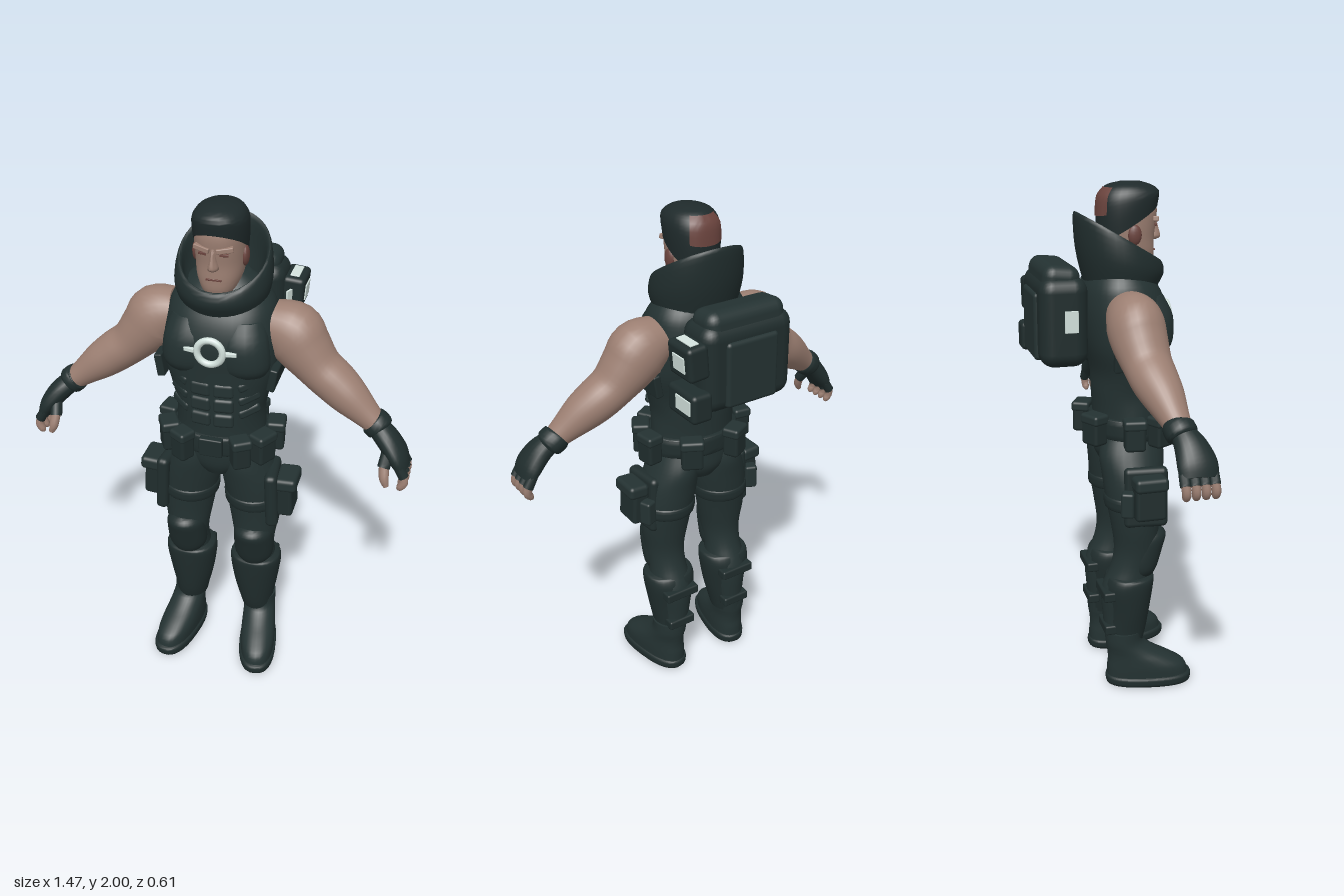
import * as THREE from 'three';
import { toCreasedNormals } from 'three/addons/utils/BufferGeometryUtils.js';
import { RoundedBoxGeometry } from 'three/addons/geometries/RoundedBoxGeometry.js';

const flat = (name, color) => {
  const m = new THREE.MeshStandardMaterial({ color });
  m.name = name;
  return m;
};

// Ring = [x, y, z, half width, half depth, squareness exponent, slope of y along z]
const fill = (r) => [r[0], r[1], r[2], r[3], r[4], r[5] ?? 1, r[6] ?? 0];
const spow = (v, p) => Math.sign(v) * Math.abs(v) ** p;

// Smoothly interpolated skin over rings; "free" rings follow the path, others stay level.
function loft(rings, { free = false, n = 28, sub = 4, arc = null } = {}) {
  const src = rings.map(fill), rows = [];
  const at = (i) => src[Math.min(Math.max(i, 0), src.length - 1)];
  for (let i = 0; i < src.length - 1; i++) {
    for (let k = 0; k < sub; k++) {
      const t = k / sub, [a, b, c, d] = [at(i - 1), at(i), at(i + 1), at(i + 2)];
      rows.push(b.map((v, q) => v + 0.5 * t * (c[q] - a[q] +
        t * (2 * a[q] - 5 * v + 4 * c[q] - d[q] + t * (3 * (v - c[q]) + d[q] - a[q])))));
    }
  }
  rows.push(src[src.length - 1]);
  const pos = [], idx = [], [t0, t1] = arc ?? [0, Math.PI * 2];
  const centre = (i) => new THREE.Vector3(...rows[Math.min(Math.max(i, 0), rows.length - 1)].slice(0, 3));
  rows.forEach(([, , , rx, rz, p, slope], i) => {
    const T = free ? centre(i + 1).sub(centre(i - 1)).normalize() : new THREE.Vector3(0, 1, 0);
    const V = new THREE.Vector3(0, 0, 1).addScaledVector(T, -T.z).normalize();
    const U = T.clone().cross(V);
    for (let j = 0; j <= n; j++) {
      const a = t0 + (t1 - t0) * (j % n === 0 && !arc ? 0 : j / n);
      const s = spow(Math.sin(a), p) * rz;
      const P = centre(i).addScaledVector(U, spow(Math.cos(a), p) * rx).addScaledVector(V, s);
      pos.push(P.x, P.y + slope * s, P.z);
    }
  });
  const w = n + 1, last = (rows.length - 1) * w;
  for (let i = 0; i < rows.length - 1; i++) {
    for (let j = 0; j < n; j++) {
      const a = i * w + j;
      idx.push(a, a + w, a + 1, a + 1, a + w, a + w + 1);
    }
  }
  if (!arc) {
    const c0 = pos.length / 3;
    pos.push(...centre(0).toArray(), ...centre(rows.length - 1).toArray());
    for (let j = 0; j < n; j++) idx.push(c0, j, j + 1, c0 + 1, last + j + 1, last + j);
  }
  const g = new THREE.BufferGeometry();
  g.setAttribute('position', new THREE.Float32BufferAttribute(pos, 3));
  g.setIndex(idx);
  return toCreasedNormals(g, 0.8);
}

export function createModel() {
  const root = new THREE.Group();
  root.name = 'armouredFigure';
  const cloth = flat('darkCloth', 0x243232), gear = flat('darkGear', 0x202d2d), hairMat = flat('hairBlack', 0x1f2a2b);
  const skin = flat('skin', 0x9c7f72), ruddy = flat('ruddySkin', 0x6b443e), pale = flat('paleMetal', 0xd3e2dd);

  const add = (name, geo, mat, p = [0, 0, 0], r = [0, 0, 0]) => {
    const m = new THREE.Mesh(geo, mat);
    m.name = name;
    m.position.set(...p);
    m.rotation.set(...r);
    root.add(m);
    return m;
  };
  const box = (name, mat, size, p, r, round = 0.2) =>
    add(name, new RoundedBoxGeometry(...size, 3, Math.min(...size) * round), mat, p, r);

  // Torso and pelvis
  add('torso', loft([
    [0, 0.93, 0.075, 0.08, 0.1], [0, 0.98, 0.075, 0.145, 0.125], [0, 1.05, 0.08, 0.175, 0.13], [0, 1.14, 0.08, 0.172, 0.132],
    [0, 1.22, 0.08, 0.17, 0.135, 0.9], [0, 1.3, 0.08, 0.188, 0.138, 0.9], [0, 1.4, 0.07, 0.213, 0.153, 0.85],
    [0, 1.5, 0.065, 0.213, 0.163, 0.85], [0, 1.58, 0.055, 0.2, 0.155, 0.85], [0, 1.64, 0.045, 0.185, 0.135, 0.9],
    [0, 1.7, 0.04, 0.14, 0.1], [0, 1.74, 0.04, 0.09, 0.07]], { n: 40 }), cloth);

  // Raised collar, high at the back and low at the throat
  add('collar', loft([
    [0, 1.62, 0.05, 0.155, 0.135, 1, -0.1], [0, 1.71, 0.05, 0.176, 0.165, 1, -0.3], [0, 1.79, 0.045, 0.168, 0.168, 1, -0.55],
    [0, 1.797, 0.045, 0.152, 0.152, 1, -0.55], [0, 1.72, 0.05, 0.13, 0.135, 1, -0.35], [0, 1.66, 0.05, 0.08, 0.09]], { n: 40 }), gear);

  // Head
  add('head', loft([
    [0, 1.62, 0.05, 0.065, 0.065], [0, 1.68, 0.07, 0.062, 0.07], [0, 1.695, 0.095, 0.058, 0.075, 0.85], [0, 1.715, 0.093, 0.068, 0.085, 0.85],
    [0, 1.75, 0.085, 0.08, 0.095, 0.85], [0, 1.8, 0.08, 0.086, 0.1, 0.9], [0, 1.85, 0.08, 0.089, 0.106, 0.9],
    [0, 1.9, 0.08, 0.089, 0.11, 0.9], [0, 1.94, 0.08, 0.083, 0.1], [0, 1.97, 0.08, 0.06, 0.075]]), skin);
  add('nose', loft([[0, 1.788, 0.18, 0.012, 0.014], [0, 1.798, 0.18, 0.02, 0.029], [0, 1.83, 0.18, 0.012, 0.022],
    [0, 1.868, 0.178, 0.009, 0.012]], { n: 10 }), skin);
  box('mouth', ruddy, [0.055, 0.007, 0.008], [0, 1.752, 0.178]);
  add('hair', loft([
    [0, 1.85, 0.08, 0.093, 0.112, 0.9, 0.6], [0, 1.91, 0.08, 0.097, 0.117, 0.88, 0.35], [0, 1.955, 0.082, 0.093, 0.113, 0.88, 0.12],
    [0, 1.985, 0.085, 0.072, 0.09], [0, 2.0, 0.088, 0.03, 0.04]]), hairMat);
  add('shavedPatch', loft([
    [0, 1.915, 0.08, 0.1, 0.121, 0.88, 0.3], [0, 1.96, 0.082, 0.096, 0.117, 0.88, 0.12], [0, 1.982, 0.085, 0.077, 0.096]],
  { arc: [Math.PI * 1.28, Math.PI * 1.72], n: 14 }), ruddy);

  // Chest badge: plain ring with side bars
  add('badgeRing', new THREE.TorusGeometry(0.047, 0.013, 8, 32), pale, [0, 1.5, 0.235]);
  for (const s of [1, -1]) box('badgeBar', pale, [0.04, 0.016, 0.015], [s * 0.077, 1.5, 0.23], [0, s * 0.2, 0]);

  // Belt
  add('belt', loft([[0, 1.05, 0.08, 0.186, 0.142], [0, 1.06, 0.08, 0.192, 0.148], [0, 1.12, 0.08, 0.19, 0.148],
    [0, 1.13, 0.08, 0.184, 0.142]], { n: 40 }), gear);
  box('buckle', gear, [0.09, 0.075, 0.03], [0, 1.095, 0.23]);

  for (const s of [1, -1]) {
    const L = (name, mat, rings, opt) => add(name, loft(rings.map(([x, ...r]) => [s * x, ...r]), opt), mat);
    const B = (name, mat, size, [x, y, z], [rx, ry, rz] = [0, 0, 0], round) =>
      box(name, mat, size, [s * x, y, z], [rx, s * ry, s * rz], round);

    // Face sides
    add('ear', new THREE.SphereGeometry(1, 14, 10), ruddy, [s * 0.088, 1.815, 0.085]).scale.set(0.014, 0.037, 0.026);
    B('brow', skin, [0.06, 0.018, 0.022], [0.04, 1.865, 0.178], [0, 0.25, 0.15]);
    B('eye', ruddy, [0.03, 0.009, 0.008], [0.038, 1.846, 0.178], [0, 0.2, 0]);

    // Vest details
    L('chestPlate', cloth, [[0.1, 1.39, 0.14, 0.085, 0.065], [0.1, 1.43, 0.15, 0.1, 0.078], [0.095, 1.52, 0.15, 0.098, 0.078],
      [0.09, 1.6, 0.12, 0.08, 0.07]], { n: 20 });
    B('vestFlap', gear, [0.03, 0.09, 0.2], [0.212, 1.38, 0.075], [0, 0, -0.15]);
    for (let i = 0; i < 3; i++) {
      B('abdomenPad', cloth, [0.078, 0.058, 0.03], [0.043, 1.335 - i * 0.064, 0.208], [0, 0.12, 0], 0.45);
      B('ribPad', cloth, [0.09, 0.04, 0.03], [0.128, 1.36 - i * 0.06, 0.178 - i * 0.006], [0, 0.62, 0.3], 0.45);
    }

    // Arm
    L('arm', skin, [[0.17, 1.55, 0.04, 0.085, 0.085], [0.25, 1.52, 0.04, 0.115, 0.104], [0.3, 1.465, 0.045, 0.102, 0.102],
      [0.36, 1.4, 0.055, 0.083, 0.09], [0.42, 1.355, 0.065, 0.08, 0.085], [0.48, 1.31, 0.08, 0.072, 0.074],
      [0.55, 1.255, 0.095, 0.052, 0.054], [0.6, 1.215, 0.105, 0.04, 0.042]], { free: true });

    // Fingerless glove and hand
    L('gloveCuff', gear, [[0.572, 1.238, 0.1, 0.046, 0.05], [0.58, 1.232, 0.1, 0.053, 0.057], [0.604, 1.214, 0.105, 0.053, 0.057],
      [0.612, 1.207, 0.107, 0.044, 0.048]], { free: true, n: 20 });
    L('glovePalm', gear, [[0.6, 1.215, 0.11, 0.04, 0.045], [0.64, 1.18, 0.125, 0.042, 0.06], [0.68, 1.13, 0.135, 0.038, 0.072],
      [0.702, 1.09, 0.135, 0.028, 0.068]], { free: true, n: 20 });
    for (let i = 0; i < 4; i++) {
      const z = 0.083 + i * 0.035;
      L('gloveFinger', gear, [[0.69, 1.11, z, 0.018, 0.018], [0.715, 1.068, z, 0.02, 0.019]], { free: true, n: 10 });
      L('fingertip', skin, [[0.713, 1.073, z, 0.016, 0.016], [0.717, 1.045, z + 0.004, 0.017, 0.016], [0.706, 1.024, z + 0.006, 0.014, 0.014],
        [0.698, 1.015, z + 0.006, 0.006, 0.006]], { free: true, n: 10 });
    }
    L('gloveThumb', gear, [[0.65, 1.16, 0.155, 0.024, 0.024], [0.64, 1.1, 0.197, 0.023, 0.022]], { free: true, n: 10 });
    L('thumbTip', skin, [[0.641, 1.105, 0.194, 0.018, 0.018], [0.647, 1.065, 0.212, 0.018, 0.017], [0.658, 1.035, 0.218, 0.01, 0.01]],
      { free: true, n: 10 });

    // Belt pouches set around the waist
    for (const [deg, w] of [[58, 0.07], [30, 0.085], [-8, 0.08], [-62, 0.085]]) {
      const a = deg * Math.PI / 180;
      const p = (y, k) => [Math.cos(a) * (0.19 + k), y, 0.08 + Math.sin(a) * (0.15 + k)];
      B('beltPouch', gear, [w, 0.115, 0.065], p(1.085, 0.022), [0, Math.PI / 2 - a, 0]);
      B('pouchFlap', cloth, [w + 0.008, 0.04, 0.072], p(1.13, 0.022), [0, Math.PI / 2 - a, 0], 0.3);
    }

    // Leg
    L('trouserLeg', cloth, [[0.15, 0.18, 0.03, 0.062, 0.07], [0.14, 0.3, 0.035, 0.07, 0.085], [0.14, 0.42, 0.04, 0.083, 0.095],
      [0.14, 0.52, 0.065, 0.076, 0.082], [0.14, 0.6, 0.085, 0.082, 0.088], [0.138, 0.7, 0.08, 0.098, 0.095],
      [0.13, 0.8, 0.075, 0.108, 0.108], [0.115, 0.9, 0.075, 0.11, 0.12], [0.1, 0.98, 0.075, 0.095, 0.128], [0.085, 1.05, 0.08, 0.08, 0.115]]);
    L('kneePad', gear, [[0.142, 0.485, 0.095, 0.06, 0.06], [0.142, 0.52, 0.1, 0.078, 0.07], [0.142, 0.6, 0.115, 0.08, 0.078],
      [0.142, 0.65, 0.125, 0.074, 0.08], [0.142, 0.675, 0.13, 0.05, 0.055]]);
    L('shinGuard', gear, [[0.147, 0.19, 0.038, 0.066, 0.074], [0.143, 0.24, 0.043, 0.073, 0.083], [0.14, 0.33, 0.05, 0.091, 0.09],
      [0.14, 0.43, 0.053, 0.104, 0.098, 0.9], [0.14, 0.475, 0.06, 0.103, 0.094, 0.9], [0.14, 0.485, 0.06, 0.092, 0.085]]);
    for (const [y, r] of [[0.26, 0.08], [0.415, 0.1]])
      B('guardStrap', gear, [r * 1.5, 0.04, 0.05], [0.14, y, -0.03 - (r - 0.08) * 0.4]);

    // Thigh rig
    L('thighStrap', gear, [[0.13, 0.775, 0.075, 0.11, 0.11], [0.13, 0.785, 0.075, 0.114, 0.115], [0.128, 0.815, 0.075, 0.115, 0.116],
      [0.127, 0.825, 0.075, 0.111, 0.111]]);
    B('thighPad', gear, [0.05, 0.24, 0.17], [0.215, 0.835, 0.1], [0, 0.1, 0.05], 0.4);
    B('thighPouch', gear, [0.07, 0.16, 0.12], [0.265, 0.845, 0.1], [0, 0, 0.06]);
    B('thighPouchFlap', cloth, [0.085, 0.055, 0.13], [0.272, 0.91, 0.1], [0, 0, 0.06], 0.3);
    B('thighSidePouch', cloth, [0.05, 0.1, 0.05], [0.25, 0.825, 0.02], [0, 0.4, 0]);

    // Boot, turned slightly outwards
    const boot = (name, mat, rings) => add(name, loft(rings, { n: 32 }), mat, [s * 0.15, 0, 0], [0, s * 0.18, 0]);
    boot('bootSole', gear, [[0, 0, 0.135, 0.07, 0.165, 0.8], [0, 0.008, 0.135, 0.077, 0.174, 0.8], [0, 0.035, 0.135, 0.079, 0.176, 0.8],
      [0, 0.043, 0.135, 0.07, 0.165, 0.8]]);
    boot('bootUpper', cloth, [[0, 0.035, 0.132, 0.071, 0.167, 0.8], [0, 0.08, 0.125, 0.073, 0.16, 0.85], [0, 0.115, 0.1, 0.071, 0.132, 0.9],
      [0, 0.15, 0.065, 0.068, 0.1], [0, 0.19, 0.035, 0.067, 0.076], [0, 0.24, 0.032, 0.067, 0.074]]);
  }

  // Backpack
  box('backpack', gear, [0.38, 0.33, 0.18], [-0.01, 1.52, -0.2], [0, 0, 0], 0.3);
  box('backpackLid', cloth, [0.33, 0.11, 0.14], [-0.01, 1.67, -0.205], [0.1, 0, 0], 0.4);
  box('backpackPanel', cloth, [0.22, 0.25, 0.04], [-0.01, 1.5, -0.282], [0, 0, 0], 0.4);
  box('backpackLabel', pale, [0.008, 0.08, 0.05], [-0.201, 1.53, -0.18]);
  box('upperCanister', gear, [0.085, 0.13, 0.14], [0.205, 1.57, -0.215], [0, 0, -0.08]);
  box('lowerCanister', gear, [0.085, 0.11, 0.17], [0.2, 1.405, -0.215]);
  box('upperLabel', pale, [0.008, 0.06, 0.07], [0.248, 1.565, -0.22], [0, 0, -0.08]);
  box('sideLabel', pale, [0.008, 0.06, 0.035], [0.2, 1.565, -0.135], [0, -0.4, 0]);
  box('lowerLabel', pale, [0.008, 0.055, 0.09], [0.243, 1.41, -0.235]);
  box('topLabel', pale, [0.035, 0.008, 0.09], [0.21, 1.635, -0.215], [0, 0, -0.08]);

  return root;
}
